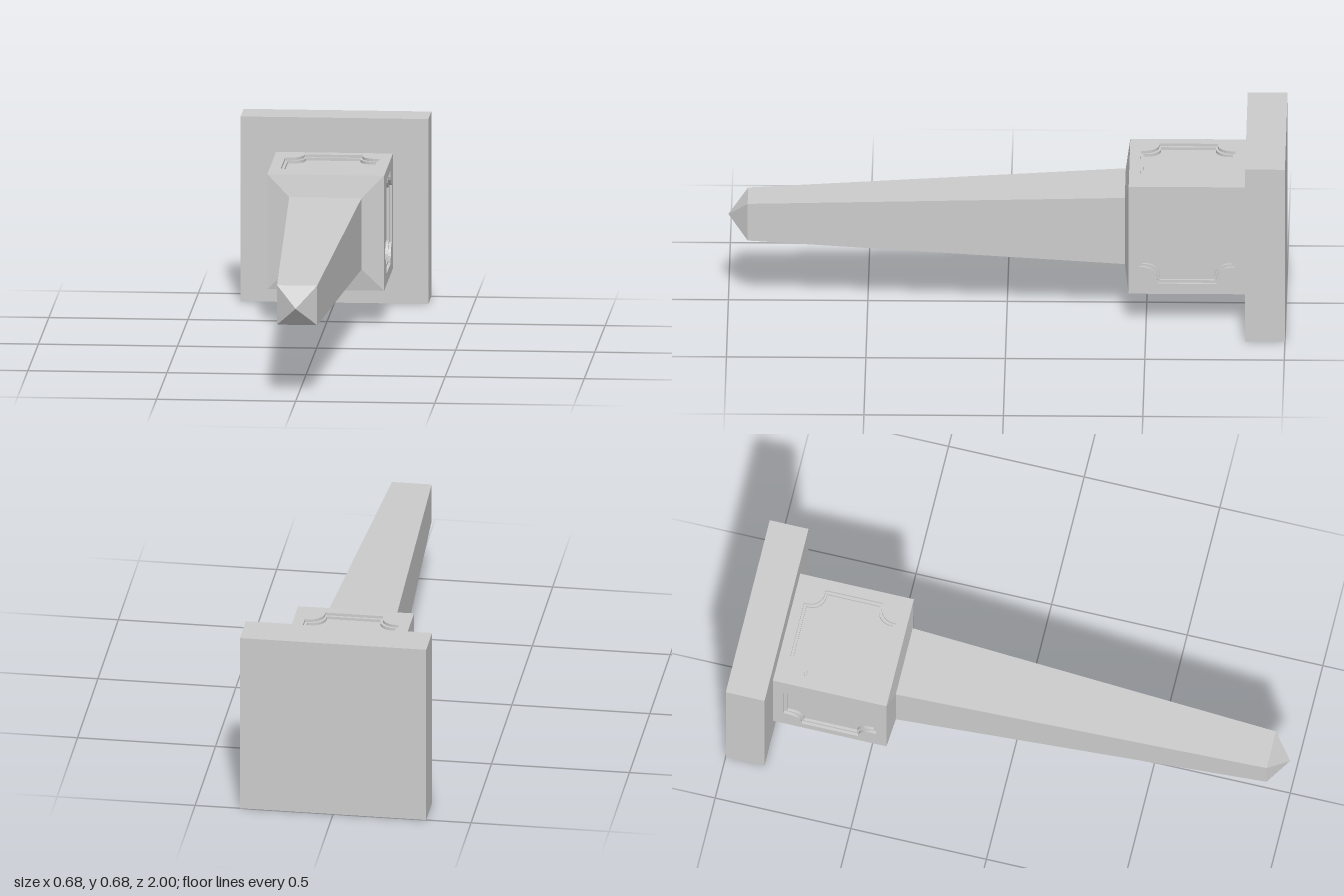
import * as THREE from 'three';

const material = new THREE.MeshStandardMaterial({ color: 0xcccccc, flatShading: true });
const HALF = 0.21;               // half width of the square block
const BACK = -0.857, FRONT = -0.438; // block extent along z
const STEP = 0.01;               // depth of each panel step

// Square frustum along z, from half width h0 at z0 to h1 at z1
function frustum(name, h0, z0, h1, z1) {
  const geo = new THREE.CylinderGeometry(h1 * Math.SQRT2, h0 * Math.SQRT2, z1 - z0, 4);
  geo.rotateY(Math.PI / 4).rotateX(Math.PI / 2).translate(0, 0, (z0 + z1) / 2);
  const mesh = new THREE.Mesh(geo, material);
  mesh.name = name;
  return mesh;
}

// Square outline with an eared, concave round notch at each corner
function panelOutline(w, notch, ear) {
  const points = [];
  for (let k = 0; k < 4; k++) {
    const corner = [[w, w - notch]];
    for (let i = 0; i <= 6; i++) {
      const a = -Math.PI / 2 - (i / 6) * Math.PI / 2;
      corner.push([w - ear + (notch - ear) * Math.cos(a), w - ear + (notch - ear) * Math.sin(a)]);
    }
    corner.push([w - notch, w]);
    for (const [x, y] of corner) {
      points.push(new THREE.Vector2(x, y).rotateAround(new THREE.Vector2(), k * Math.PI / 2));
    }
  }
  return new THREE.Path(points);
}

// One layer of a panel frame; its outer face lies at distance `outer` from the axis
function frameLayer(outer, w, notch) {
  const len = (FRONT - BACK) / 2;
  const shape = new THREE.Shape([
    new THREE.Vector2(-outer, -len), new THREE.Vector2(outer - STEP, -len),
    new THREE.Vector2(outer - STEP, len), new THREE.Vector2(-outer, len),
  ]);
  shape.holes.push(panelOutline(w, notch, 0.012));
  const geo = new THREE.ExtrudeGeometry(shape, { depth: STEP, bevelEnabled: false });
  geo.rotateX(-Math.PI / 2).translate(0, outer - STEP, (FRONT + BACK) / 2);
  return new THREE.Mesh(geo, material);
}

export function createModel() {
  const model = new THREE.Group();
  model.name = 'squareSpike';
  const body = new THREE.Group();
  body.name = 'body';
  body.position.y = 0.3375;
  model.add(body);

  // Mounting plate, block core, shallow collar, tapered shaft and pyramid tip
  const core = HALF - 2 * STEP;
  body.add(
    frustum('backPlate', 0.3375, -1, 0.3375, BACK),
    frustum('blockCore', core, BACK, core, FRONT),
    frustum('collar', HALF, FRONT, 0.13, -0.423),
    frustum('shaft', 0.13, -0.423, 0.072, 0.93),
    frustum('tip', 0.072, 0.93, 0, 1),
  );

  // Stepped recessed panels on the four sides of the block
  for (let k = 0; k < 4; k++) {
    const panel = new THREE.Group();
    panel.name = ['topPanel', 'rightPanel', 'bottomPanel', 'leftPanel'][k];
    panel.add(frameLayer(HALF, 0.17, 0.065), frameLayer(HALF - STEP, 0.16, 0.062));
    panel.rotation.z = -k * Math.PI / 2;
    if (k % 2) panel.name = k === 1 ? 'leftPanel' : 'rightPanel';
    body.add(panel);
  }
  return model;
}
